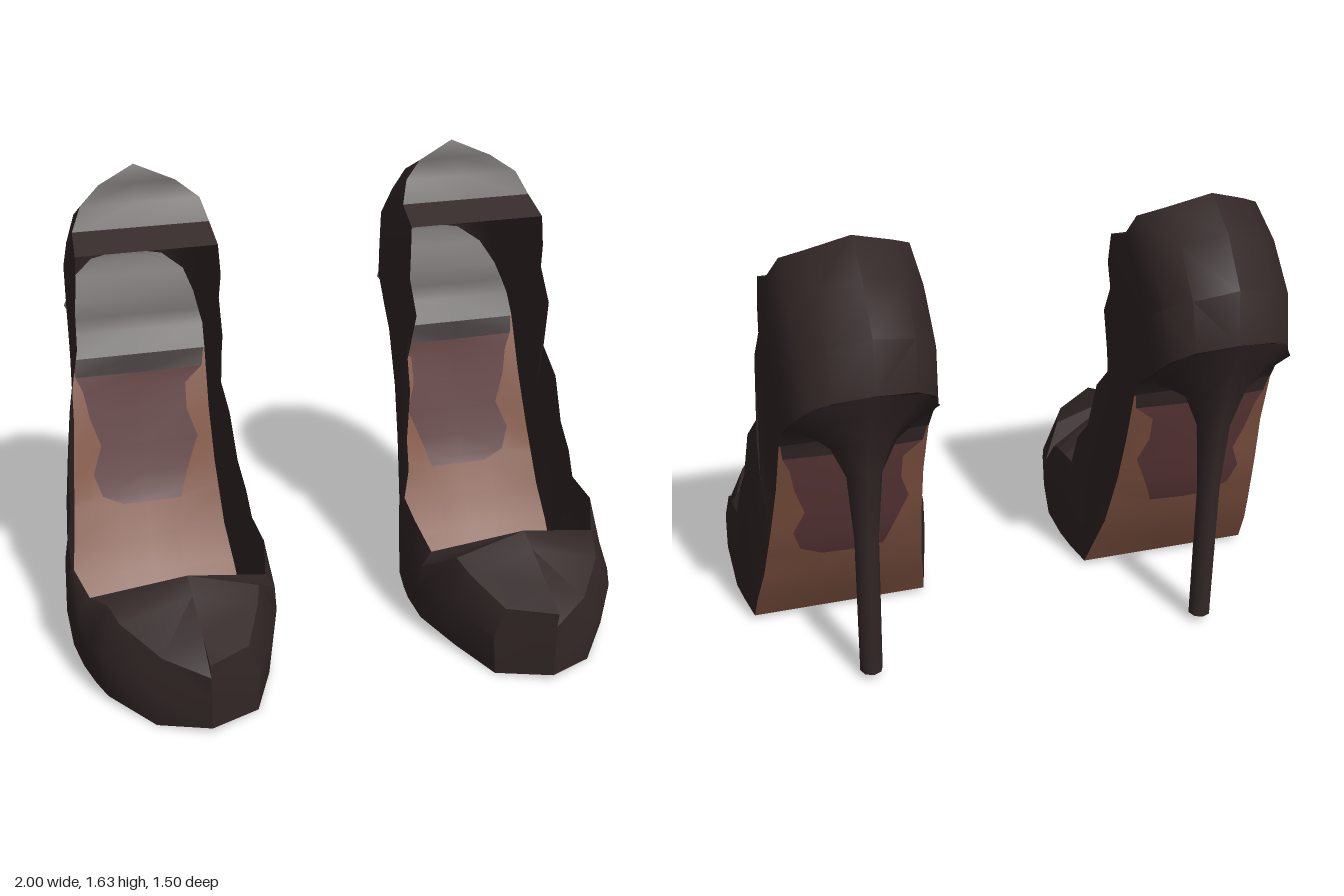
import * as THREE from 'three';
import { toCreasedNormals } from 'three/addons/utils/BufferGeometryUtils.js';

const { lerp, smoothstep } = THREE.MathUtils;

const material = (name, color) => {
  const m = new THREE.MeshStandardMaterial({ color, side: THREE.DoubleSide });
  m.name = name;
  return m;
};

// Seam with the sole and rim of the opening, as z,y from toe to back
const SEAM = [
  [0.74, 0.02], [0.64, 0], [0.45, 0.02], [0.36, 0.025], [0.24, 0.025], [0.09, 0.025], [0, 0.02],
  [-0.11, 0.02], [-0.17, 0.14], [-0.23, 0.27], [-0.31, 0.5], [-0.37, 0.7], [-0.44, 0.91],
  [-0.49, 0.99], [-0.54, 1.03], [-0.6, 1.08], [-0.67, 1.15], [-0.72, 1.2], [-0.745, 1.22],
];
const RIM = [
  [0.75, 0.27], [0.64, 0.32], [0.48, 0.385], [0.4, 0.42], [0.27, 0.31], [0.15, 0.38], [0, 0.4],
  [-0.01, 0.51], [-0.08, 0.6], [-0.11, 0.78], [-0.19, 0.88], [-0.11, 1.08], [-0.18, 1.2],
  [-0.16, 1.29], [-0.17, 1.4], [-0.29, 1.45], [-0.33, 1.53], [-0.4, 1.58], [-0.45, 1.635],
];
// Outer and inner wall x at the same stations
const OUTER = [0.61, 0.79, 0.93, 0.96, 0.985, 1, 0.985, 0.965, 0.955, 0.935, 0.91, 0.89, 0.88,
  0.875, 0.87, 0.86, 0.82, 0.74, 0.6];
const INNER = [0.61, 0.42, 0.33, 0.3, 0.267, 0.267, 0.28, 0.3, 0.315, 0.335, 0.35, 0.355, 0.35,
  0.345, 0.35, 0.355, 0.38, 0.455, 0.6];
const LAST = SEAM.length - 1;
const OPENING = 4;

// Wall section at a station: seam, two middle points, rim
function section(i, inner) {
  const [bz, by] = SEAM[i], [tz, ty] = RIM[i];
  const wall = (inner ? INNER : OUTER)[i];
  // The vamp meets in a ridge, the walls behind it lean in slightly
  const rim = i < OPENING ? 0.615 : lerp(wall, 0.6, 0.03 + 0.1 / (i - 3) ** 2);
  const bulge = 0.11 * smoothstep(i, 12, 17);
  const at = (f, x, b) => new THREE.Vector3(x, lerp(by, ty, f), lerp(bz, tz, f) - b);
  return [
    at(0, lerp(wall, 0.61, 0.05), 0),
    at(0.45, wall, bulge),
    at(0.8, lerp(wall, rim, 0.2), bulge * 0.85),
    at(1, rim, 0),
  ];
}

// Point between the outer and inner wall, and strips of such points
const across = (i, row, f) => section(i, false)[row].lerp(section(i, true)[row], f);
const strips = (from, to, row) => Array.from({ length: to - from + 1 },
  (_, k) => [0, 0.5, 1].map((f) => across(from + k, row, f)));

// Surface over rows of points; one mesh for each material picked by pick(row, column)
function surface(name, rows, pick, side, crease = 0.6) {
  const group = new THREE.Group();
  group.name = name;
  const byMaterial = new Map();
  const tri = new THREE.Triangle();
  for (let r = 0; r < rows.length - 1; r++) {
    for (let c = 0; c < rows[r].length - 1; c++) {
      const mat = pick(r, c);
      if (!byMaterial.has(mat)) byMaterial.set(mat, []);
      const out = byMaterial.get(mat);
      const a = rows[r][c], b = rows[r][c + 1], d = rows[r + 1][c], e = rows[r + 1][c + 1];
      for (const [p, q, s] of [[a, b, e], [a, e, d]]) {
        if (tri.set(p, q, s).getArea() < 1e-7) continue;
        for (const v of side > 0 ? [p, q, s] : [p, s, q]) out.push(v.x * side, v.y, v.z);
      }
    }
  }
  for (const [mat, positions] of byMaterial) {
    const g = new THREE.BufferGeometry();
    g.setAttribute('position', new THREE.Float32BufferAttribute(positions, 3));
    const mesh = new THREE.Mesh(toCreasedNormals(g, crease), mat);
    mesh.name = name + ' ' + mat.name;
    group.add(mesh);
  }
  return group;
}

// Arch rows: station, fraction towards the next, edges of the ragged patch
const SHANK = [
  [7, 0, 0.35, 0.65], [8, 0, 0.32, 0.68], [9, 0, 0.3, 0.7], [9, 0.5, 0.34, 0.74],
  [9, 0.65, 0.2, 0.76], [10, 0, 0.14, 0.82], [10, 0.5, 0.2, 0.9], [11, 0, 0.12, 0.84],
  [11, 0.45, 0.08, 0.84], [11, 0.7, 0.03, 0.97], [12, 0, 0.01, 0.99],
];
// Heel rings: y, centre z, radius x, radius z, tilt
const HEEL = [
  [0.03, -0.542, 0, 0, 0], [0.03, -0.542, 0.04, 0.04, 0], [0.08, -0.542, 0.04, 0.04, 0],
  [0.58, -0.552, 0.042, 0.042, 0], [0.83, -0.557, 0.06, 0.065, -0.1],
  [0.95, -0.565, 0.11, 0.1, -0.6], [1.02, -0.58, 0.18, 0.13, -0.9], [1.07, -0.593, 0.25, 0.15, -1.03],
];

function createShoe(side, dark, tan, red) {
  const shoe = new THREE.Group();
  shoe.name = side > 0 ? 'leftShoe' : 'rightShoe';
  const plain = () => dark;

  // Upper: vamp, side walls and heel counter in one sweep around the foot
  const upper = [];
  for (let i = 0; i <= LAST; i++) upper.push(section(i, false));
  for (let i = LAST - 1; i >= 0; i--) upper.push(section(i, true));
  shoe.add(surface('upper', upper, plain, side));

  // Collar closing the top of the heel counter, and the seat below it
  shoe.add(surface('collar', strips(14, LAST, 3), plain, side));
  shoe.add(surface('heelSeat', strips(12, LAST, 0), plain, side));

  // Platform sole with a red strip at its back edge
  shoe.add(surface('platformSole', strips(0, 7, 0), (r) => (r === 6 ? red : dark), side));

  // Arch: tan shank with a red patch, bowed backwards in the middle
  const shank = SHANK.map(([i, t, f1, f2], k) => [0, f1, 0.5, f2, 1].map((f) => {
    const p = across(i, 0, f).lerp(across(i + 1, 0, f), t);
    const bow = Math.sin((Math.PI * k) / (SHANK.length - 1)) * 4 * f * (1 - f);
    p.z -= bow * 0.03;
    p.y -= bow * 0.02;
    return p;
  }));
  shoe.add(surface('shank', shank, (r, c) => {
    if (c === 0 || c === 3 || r < 3) return tan;
    return r < 9 ? red : dark;
  }, side));

  // Stiletto heel: octagonal rings, tilting into the seat at the top
  const rings = HEEL.map(([y, z, rx, rz, tilt]) => Array.from({ length: 9 }, (_, k) => {
    const a = (k * Math.PI) / 4;
    const dz = Math.cos(a) * rz;
    return new THREE.Vector3(0.61 - Math.sin(a) * rx, y + dz * tilt, z + dz);
  }));
  shoe.add(surface('heel', rings, (r, c) => {
    if ((c !== 1 && c !== 6) || r < 2 || r > 3) return dark;
    return r === 2 ? tan : red;
  }, side, 0.9));
  return shoe;
}

export function createModel() {
  const model = new THREE.Group();
  model.name = 'pairOfHighHeels';
  const dark = material('darkLeather', 0x332727);
  const tan = material('tanSole', 0x825442);
  const red = material('redBrownWear', 0x5c3838);
  for (const side of [1, -1]) model.add(createShoe(side, dark, tan, red));
  return model;
}
